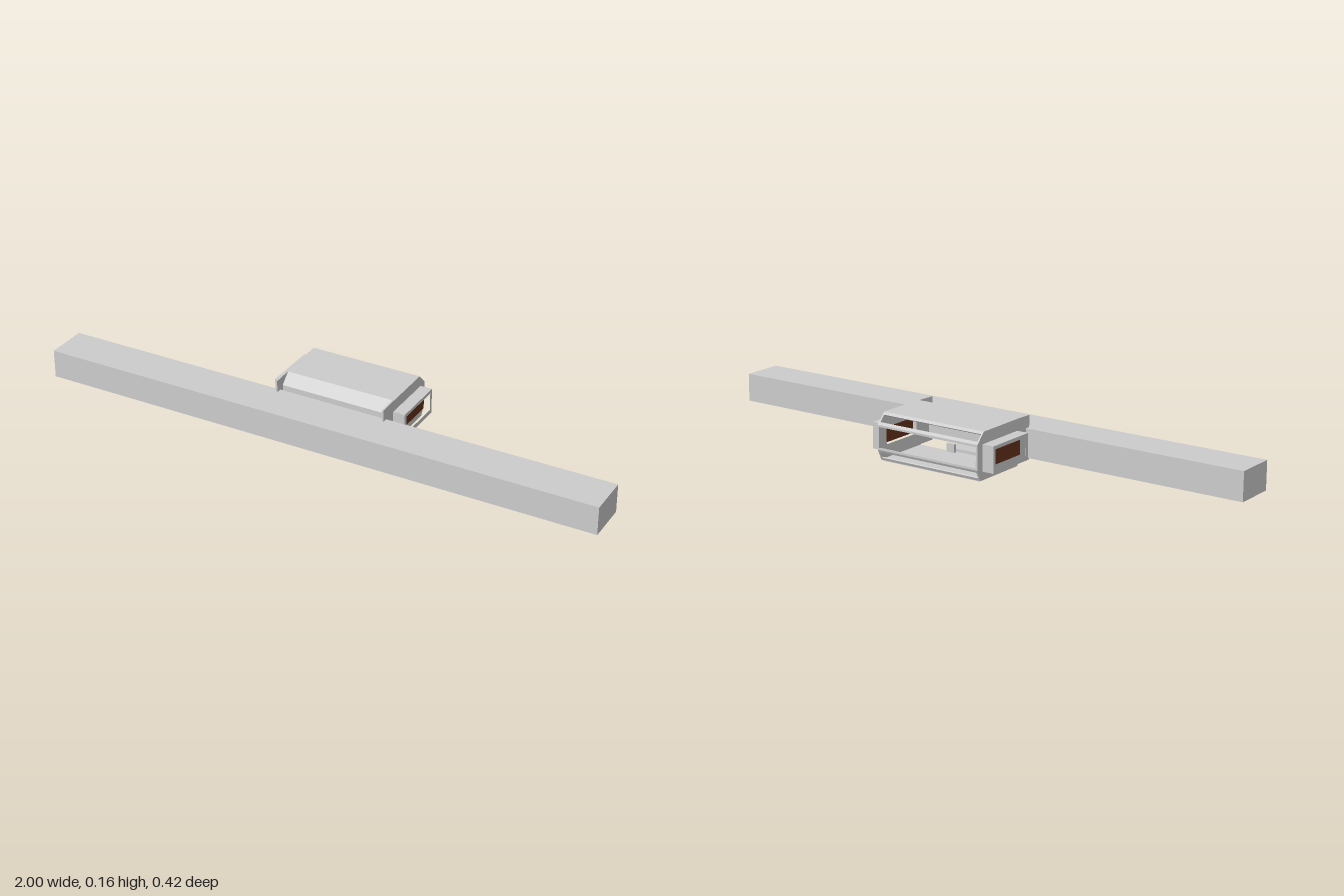
import * as THREE from 'three';

export function createModel() {
  const model = new THREE.Group();
  const grey = new THREE.MeshStandardMaterial({ color: 0xcccccc, flatShading: true });
  const brown = new THREE.MeshStandardMaterial({ color: 0x64301a, flatShading: true });

  // Box given by its limits along each axis
  function box(name, [x0, x1], [y0, y1], [z0, z1], material = grey) {
    const mesh = new THREE.Mesh(new THREE.BoxGeometry(x1 - x0, y1 - y0, z1 - z0), material);
    mesh.position.set((x0 + x1) / 2, (y0 + y1) / 2, (z0 + z1) / 2);
    mesh.name = name;
    model.add(mesh);
  }

  // Side outline in (z, y), extruded across x from x0 to x1
  function slab(name, outline, x0, x1, hole) {
    const points = (list) => list.map(([z, y]) => new THREE.Vector2(-z, y));
    const shape = new THREE.Shape(points(outline));
    if (hole) shape.holes.push(new THREE.Path(points(hole)));
    const geometry = new THREE.ExtrudeGeometry(shape, { depth: x1 - x0, bevelEnabled: false });
    geometry.rotateY(Math.PI / 2);
    geometry.translate(x0, 0, 0);
    const mesh = new THREE.Mesh(geometry, grey);
    mesh.name = name;
    model.add(mesh);
  }
  const rect = (z0, z1, y0, y1) => [[z0, y0], [z1, y0], [z1, y1], [z0, y1]];

  // Long bar across the front
  box('crossBeam', [-1, 1], [0.019, 0.118], [0.061, 0.208]);

  // Side walls with a window, each with a projecting frame and a recessed panel
  const wall = [[0.08, 0.008], [0.08, 0.159], [0.013, 0.161], [-0.172, 0.161], [-0.208, 0.125],
    [-0.208, 0.04], [-0.19, 0.002], [0.013, 0.002], [0.016, 0.008]];
  const opening = rect(-0.168, 0.001, 0.047, 0.109);
  for (const s of [-1, 1]) {
    const span = (a, b) => (s > 0 ? [a, b] : [-b, -a]);
    slab('sideWall', wall, ...span(0.194, 0.2), opening);
    slab('windowFrame', rect(-0.18, 0.013, 0.031, 0.121), ...span(0.2, 0.242), opening);
    box('windowPanel', span(0.215, 0.219), [0.047, 0.109], [-0.168, 0.001], brown);
    // Small upright clips inside, beside the tongue
    box('innerClip', span(0.045, 0.075), [0.004, 0.035], [0, 0.012]);
  }

  // Roof, sloping front edge and floor
  const w = 0.194;
  slab('roof', rect(-0.172, 0.01, 0.156, 0.161), -w, w);
  slab('frontSlope', [[0.01, 0.161], [0.045, 0.127], [0.045, 0.1], [0.041, 0.1], [0.041, 0.125],
    [0.008, 0.156]], -w, w);
  slab('floor', rect(-0.19, 0.013, 0, 0.006), -w, w);

  // Mounting tongue running forward under the beam
  box('tongue', [-0.075, 0.075], [0.008, 0.019], [0.01, 0.148]);

  // Thin rails along the open back
  slab('upperBackRail', [[-0.208, 0.118], [-0.208, 0.125], [-0.2, 0.133], [-0.197, 0.13],
    [-0.204, 0.123], [-0.204, 0.118]], -w, w);
  slab('lowerBackRail', [[-0.208, 0.047], [-0.208, 0.04], [-0.204, 0.032], [-0.2, 0.034],
    [-0.204, 0.041], [-0.204, 0.047]], -w, w);
  slab('roofBackRail', [[-0.172, 0.161], [-0.18, 0.153], [-0.177, 0.15], [-0.168, 0.156]], -w, w);
  slab('floorBackRail', [[-0.19, 0.002], [-0.194, 0.011], [-0.19, 0.013], [-0.186, 0.005]], -w, w);

  return model;
}
